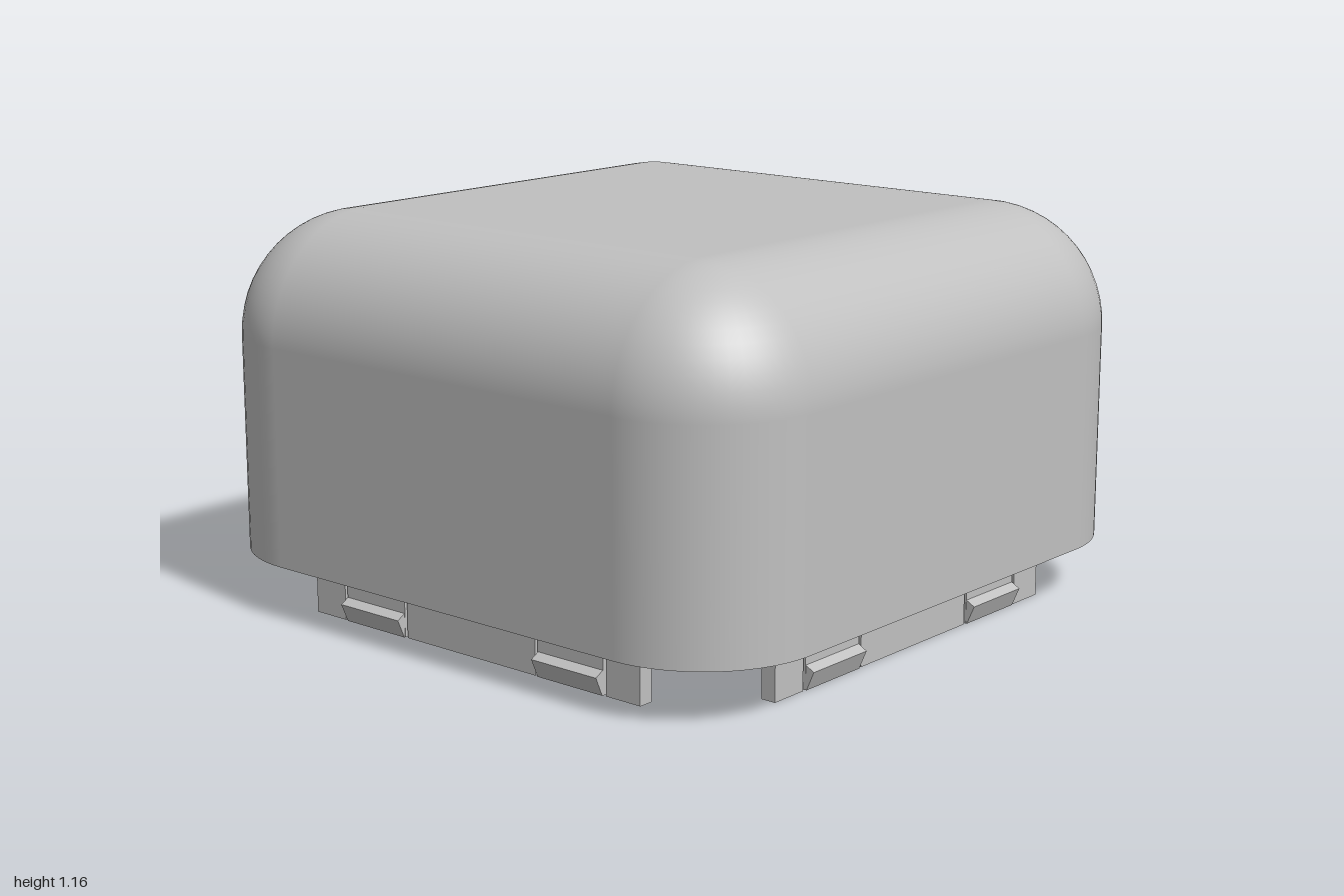
import * as THREE from 'three';

const CORE = 0.64, R = 0.36, WALL = 0.12, BASE = 0.16, SPRING = 0.8;
const INNER = CORE + R - WALL;

// Lofts rounded-square rings; each row is [corner radius, y, radial normal, vertical normal, core half size]
function loftRings(rows, steps = 14) {
  const pos = [], nor = [], idx = [];
  const n = 4 * (steps + 1);
  for (const [d, y, nr, ny, core = CORE] of rows) {
    for (let k = 0; k < 4; k++) {
      const sx = [1, -1, -1, 1][k], sz = [1, 1, -1, -1][k];
      for (let s = 0; s <= steps; s++) {
        const t = (k + s / steps) * Math.PI / 2, c = Math.cos(t), q = Math.sin(t);
        pos.push(sx * core + d * c, y, sz * core + d * q);
        nor.push(nr * c, ny, nr * q);
      }
    }
  }
  const backFlat = 3 * (steps + 1) - 1;
  for (let j = 0; j < rows.length - 1; j++) {
    const low = Math.max(rows[j][1], rows[j + 1][1]) <= SPRING + 1e-6;
    for (let i = 0; i < n; i++) {
      if (low && i === backFlat) continue; // filled by the notched back wall
      const a = j * n + i, b = j * n + (i + 1) % n;
      idx.push(a, a + n, b + n, a, b + n, b);
    }
  }
  const g = new THREE.BufferGeometry();
  g.setAttribute('position', new THREE.Float32BufferAttribute(pos, 3));
  g.setAttribute('normal', new THREE.Float32BufferAttribute(nor, 3));
  g.setIndex(idx);
  return g;
}

// Straight wall, quarter-round shoulder, flat top
function domeRows(r) {
  const rows = [[r, BASE, 1, 0]];
  for (let i = 0; i <= 14; i++) {
    const t = i / 14 * Math.PI / 2;
    rows.push([r * Math.cos(t), SPRING + r * Math.sin(t), Math.cos(t), Math.sin(t)]);
  }
  rows.push([0, SPRING + r, 0, 1, 0]);
  return rows;
}

export function createModel() {
  const model = new THREE.Group();
  model.name = 'roundedCover';
  const grey = new THREE.MeshStandardMaterial({ color: 0xc0c0c0 });
  grey.name = 'light grey';

  const add = (parent, name, geometry) => {
    const mesh = new THREE.Mesh(geometry, grey);
    mesh.name = name;
    parent.add(mesh);
    return mesh;
  };
  const box = (parent, name, x0, x1, y0, y1, z0, z1) =>
    add(parent, name, new THREE.BoxGeometry(x1 - x0, y1 - y0, z1 - z0))
      .position.set((x0 + x1) / 2, (y0 + y1) / 2, (z0 + z1) / 2);

  // Hollow shell
  add(model, 'outerShell', loftRings(domeRows(R)));
  add(model, 'innerShell', loftRings(domeRows(R - WALL).reverse().map(
    ([d, y, nr, ny, core]) => [d, y, -nr, -ny, core])));
  add(model, 'bottomRim', loftRings([[R - WALL, BASE, 0, -1], [R, BASE, 0, -1]]));

  // Back wall with the half-round cable notch
  const back = new THREE.Shape();
  back.moveTo(-CORE, BASE);
  back.lineTo(-0.14, BASE);
  back.absarc(0, BASE, 0.14, Math.PI, 0, true);
  back.lineTo(CORE, BASE);
  back.lineTo(CORE, SPRING);
  back.lineTo(-CORE, SPRING);
  const wall = new THREE.ExtrudeGeometry(back, { depth: WALL, bevelEnabled: false, curveSegments: 24 });
  add(model, 'backWall', wall).position.z = -1;

  // Snap-fit strip on each side: end posts, hooked clips and a centre tongue
  const hook = new THREE.Shape();
  hook.moveTo(-0.01, 0);
  hook.lineTo(0.003, 0);
  hook.lineTo(0.027, 0.055);
  hook.lineTo(0, 0.07);
  hook.lineTo(-0.01, 0.07);
  const hookGeo = new THREE.ExtrudeGeometry(hook, { depth: 0.235, bevelEnabled: false });
  hookGeo.rotateY(-Math.PI / 2).translate(0.1175, 0, 0);

  ['front', 'left', 'back', 'right'].forEach((side, k) => {
    const strip = new THREE.Group();
    strip.name = side + 'SnapStrip';
    strip.rotation.y = k * Math.PI / 2;
    const z0 = 0.83, z1 = 0.875;
    for (const s of [-1, 1]) {
      const span = (name, a, b, top) =>
        box(strip, name, Math.min(s * a, s * b), Math.max(s * a, s * b), 0, top, z0, z1);
      span('endPost', 0.505, 0.625, 0.34);
      span('clip', 0.258, 0.495, 0.5);
      add(strip, 'clipHook', hookGeo).position.set(s * 0.3765, 0, z1);
      if (side === 'back') span('centreTongue', 0.14, 0.248, 0.24);
    }
    if (side !== 'back') box(strip, 'centreTongue', -0.248, 0.248, 0, 0.24, z0, z1);
    model.add(strip);
  });

  // Inner shelves with a pair of screw holes
  const shelf = (name, half, z0, z1, holeZ, height) => {
    const s = new THREE.Shape();
    s.moveTo(-half, z0);
    s.lineTo(half, z0);
    s.lineTo(half, z1);
    s.lineTo(-half, z1);
    for (const x of [-0.115, 0.115]) {
      s.holes.push(new THREE.Path().absarc(x, holeZ, 0.03, 0, Math.PI * 2, true));
    }
    const g = new THREE.ExtrudeGeometry(s, { depth: height, bevelEnabled: false, curveSegments: 16 });
    g.rotateX(Math.PI / 2);
    add(model, name, g).position.y = 0.36 + height;
  };
  shelf('frontShelf', 0.5, 0.62, INNER, 0.8, 0.14);
  shelf('backShelf', 0.7, -INNER, -0.28, -0.365, 0.1);

  return model;
}
